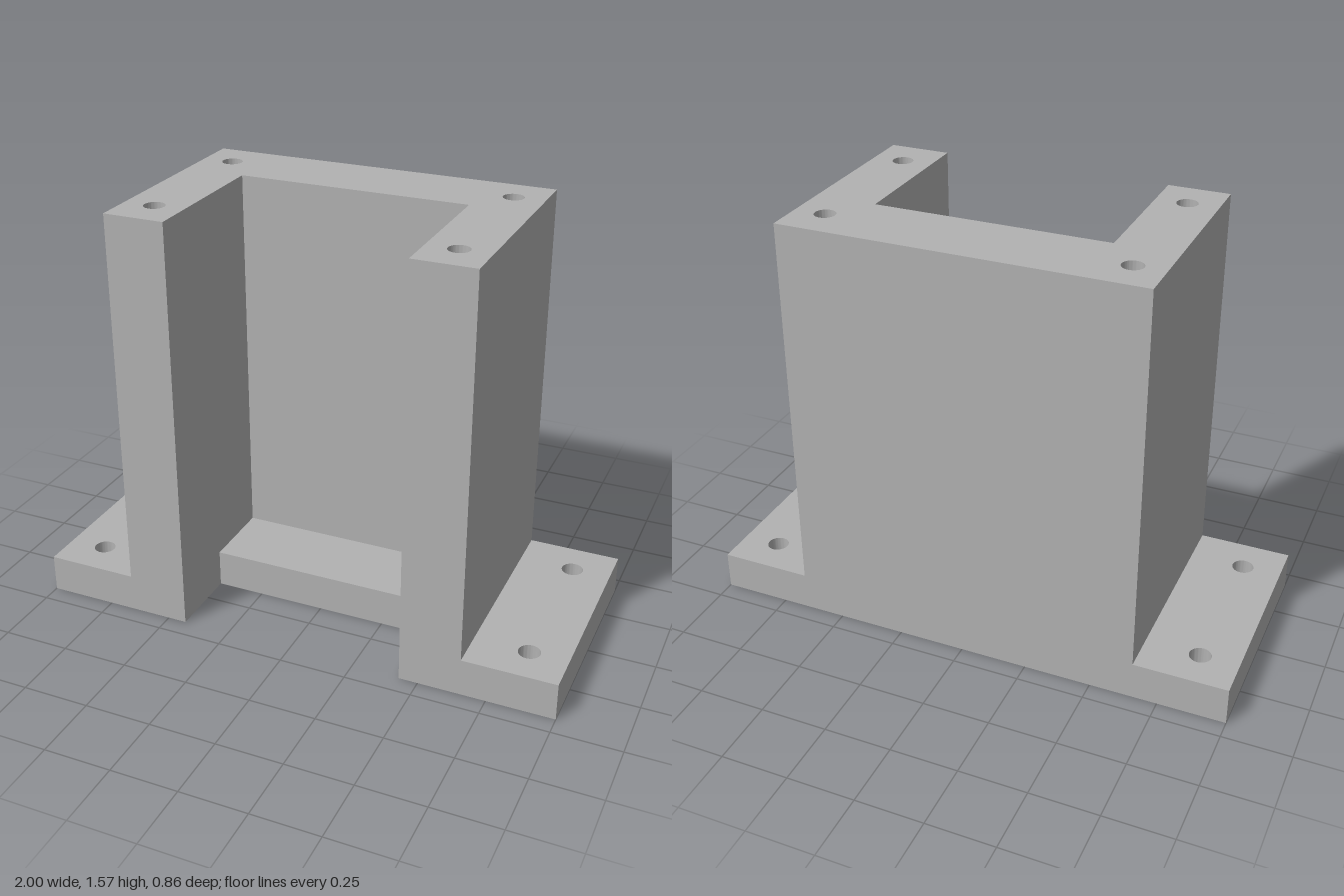
import * as THREE from 'three';
import { toCreasedNormals } from 'three/addons/utils/BufferGeometryUtils.js';

const HALF_DEPTH = 0.428;
const HOLE_Z = 0.286;
const BASE_TOP = 0.143;
const TOP = 1.571;
const BORE_DEPTH = 0.3;

// U-shaped plan, open to the front, with optional holes near the four corners
function channelPlan(halfWidth, notchZ, holeX, holeRadius) {
  const n = 0.429, d = HALF_DEPTH;
  // shape y is -z
  const shape = new THREE.Shape([
    [-halfWidth, -d], [-n, -d], [-n, -notchZ], [n, -notchZ],
    [n, -d], [halfWidth, -d], [halfWidth, d], [-halfWidth, d],
  ].map(([x, y]) => new THREE.Vector2(x, y)));
  if (holeRadius) {
    for (const sx of [-1, 1]) for (const sz of [-1, 1]) {
      const hole = new THREE.Path();
      hole.absarc(sx * holeX, sz * HOLE_Z, holeRadius, 0, Math.PI * 2, true);
      shape.holes.push(hole);
    }
  }
  return shape;
}

// Extrude a plan upward from y0 to y1
function slab(name, plan, y0, y1, material) {
  const geometry = new THREE.ExtrudeGeometry(plan, {
    depth: y1 - y0, bevelEnabled: false, curveSegments: 32,
  });
  geometry.rotateX(-Math.PI / 2);
  geometry.translate(0, y0, 0);
  const mesh = new THREE.Mesh(toCreasedNormals(geometry, 0.6), material);
  mesh.name = name;
  return mesh;
}

export function createModel() {
  const group = new THREE.Group();
  group.name = 'mountingBracket';
  const grey = new THREE.MeshStandardMaterial({ color: 0xb2b2b2 });
  grey.name = 'plain grey';

  // Flanged base with through holes
  group.add(slab('basePlate', channelPlan(1, 0.143, 0.857, 0.04), 0, BASE_TOP, grey));

  // Upright channel: solid lower walls, then the part with blind screw bores
  const boreFloor = TOP - BORE_DEPTH;
  group.add(slab('channelWalls', channelPlan(0.655, -0.143), BASE_TOP, boreFloor, grey));
  group.add(slab('boredChannelTop', channelPlan(0.655, -0.143, 0.542, 0.038), boreFloor, TOP, grey));

  return group;
}
